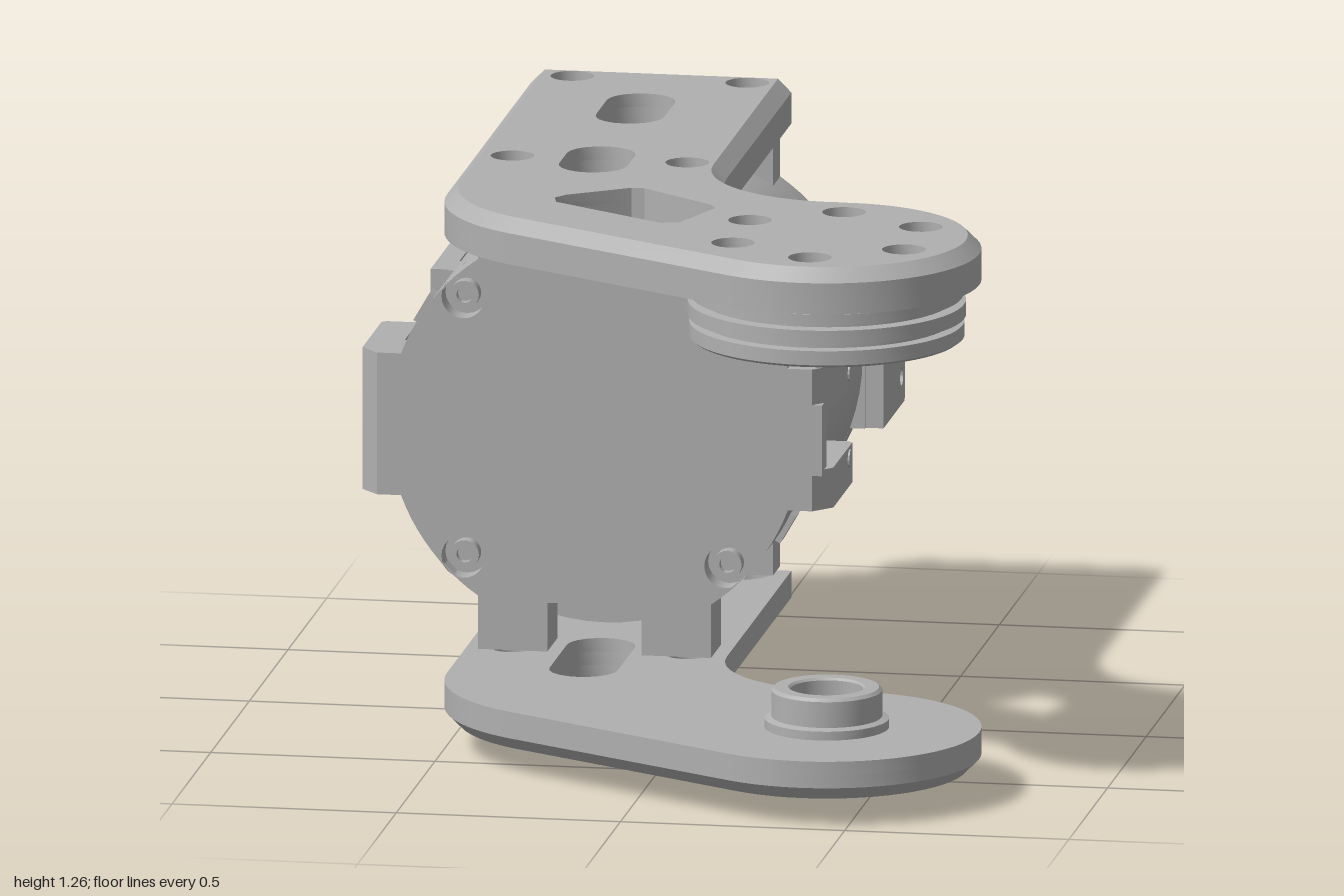
import * as THREE from 'three';
import { toCreasedNormals } from 'three/addons/utils/BufferGeometryUtils.js';

const grey = new THREE.MeshStandardMaterial({ color: 0xb0b0b0, side: THREE.DoubleSide });
grey.name = 'machined grey';

const V = (x, y) => new THREE.Vector2(x, y);

export function createModel() {
  const model = new THREE.Group();
  model.name = 'motorYoke';

  const add = (name, geo, x = 0, y = 0, z = 0, parent = model) => {
    const mesh = new THREE.Mesh(toCreasedNormals(geo, 0.5), grey);
    mesh.name = name;
    mesh.position.set(x, y, z);
    parent.add(mesh);
    return mesh;
  };
  const extrude = (shape, depth) =>
    new THREE.ExtrudeGeometry(shape, { depth, bevelEnabled: false, curveSegments: 20 });
  // Shape drawn in x/z, raised from y0 to y1
  const slab = (shape, y0, y1) => extrude(shape, y1 - y0).rotateX(Math.PI / 2).translate(0, y1, 0);
  const lathe = (pts, seg = 48) => new THREE.LatheGeometry(pts.map(p => V(...p)), seg);
  const arc = (cx, cy, r, a0, a1, n) => Array.from({ length: n + 1 }, (_, i) => {
    const a = a0 + (a1 - a0) * i / n;
    return V(cx + r * Math.cos(a), cy + r * Math.sin(a));
  });
  const circle = (x, y, r) => new THREE.Path(arc(x, y, r, 0, Math.PI * 2, 24));
  const capsule = (x0, y0, x1, y1, r) => {
    const a = Math.atan2(y1 - y0, x1 - x0), h = Math.PI / 2;
    return new THREE.Path([...arc(x1, y1, r, a - h, a + h, 10), ...arc(x0, y0, r, a + h, a + 3 * h, 10)]);
  };
  const withHoles = (pts, holes) => {
    const s = new THREE.Shape(pts);
    s.holes.push(...holes);
    return s;
  };
  // Recessed socket screw, facing +y
  const screwGeo = () => lathe([[0.048, -0.05], [0.032, -0.05], [0.032, -0.02], [0.018, -0.02], [0.018, -0.04], [0, -0.04]], 20);

  // Hooked arm outline, pulled in by d for the chamfer
  const HX = 0.4, HZ = 0.65;
  const outline = d => [
    V(-0.51 + d, -0.805), V(0.07 - d, -0.805),
    ...arc(0.35, 0.03, 0.28 + d, Math.PI, 1.49, 14),
    ...arc(HX, HZ, 0.34 - d, 1.49 - Math.PI, 2.094, 36),
    ...arc(-0.11, 0.285, 0.4 - d, 2.094, Math.PI, 14),
  ];
  const chamfer = (y0, y1) => {
    const a = outline(0), b = outline(0.03), n = a.length, pos = [], idx = [];
    a.forEach((p, i) => pos.push(p.x, y0, p.y, b[i].x, y1, b[i].y));
    for (let i = 0; i < n; i++) {
      const p = 2 * i, q = 2 * ((i + 1) % n);
      if (y1 > y0) idx.push(p, p + 1, q, q, p + 1, q + 1);
      else idx.push(p, q, p + 1, q, q + 1, p + 1);
    }
    const g = new THREE.BufferGeometry();
    g.setAttribute('position', new THREE.Float32BufferAttribute(pos, 3));
    g.setIndex(idx);
    g.computeVertexNormals();
    return g;
  };
  const mounts = [[-0.41, -0.755], [-0.02, -0.755], [-0.41, 0.02], [-0.02, 0.02]];
  const headBolts = arc(HX, HZ, 0.22, Math.PI / 2, Math.PI * 13 / 6, 5).map(p => [p.x, p.y]);
  const boltHoles = list => list.map(([x, z]) => circle(x, z, 0.048));

  // Upper arm
  const topHoles = () => [
    ...boltHoles([...mounts, ...headBolts]),
    capsule(-0.22, -0.54, -0.22, -0.4, 0.076), capsule(-0.22, -0.025, -0.22, 0.075, 0.076),
    new THREE.Path([V(-0.25, 0.4), V(-0.23, 0.37), V(-0.1, 0.28), V(-0.07, 0.28),
      V(0.1, 0.41), V(0.115, 0.44), V(0.06, 0.59), V(0.02, 0.6), V(-0.24, 0.44)]),
  ];
  add('upperArm', slab(withHoles(outline(0), topHoles()), 1.16, 1.23));
  add('upperArmCap', slab(withHoles(outline(0.03), topHoles()), 1.23, 1.26));
  add('upperArmChamfer', chamfer(1.23, 1.26));
  for (const [x, z] of [...mounts, ...headBolts]) add('upperArmScrew', screwGeo(), x, 1.26, z);

  // Lower arm with a cable channel open underneath
  const lowHoles = () => [...boltHoles(mounts),
    capsule(-0.22, -0.54, -0.22, -0.4, 0.076), capsule(-0.22, -0.025, -0.22, 0.2, 0.076)];
  const channel = () => capsule(HX, HZ, -0.08, 0.4, 0.07);
  add('lowerArm', slab(withHoles(outline(0), [...lowHoles(), circle(HX, HZ, 0.08)]), 0.12, 0.15));
  add('lowerArmChannel', slab(withHoles(outline(0), [...lowHoles(), channel()]), 0.09, 0.12));
  add('lowerArmCap', slab(withHoles(outline(0.03), [...lowHoles(), channel()]), 0.06, 0.09));
  add('lowerArmChamfer', chamfer(0.09, 0.06));
  for (const [x, z] of mounts) add('lowerArmScrew', screwGeo().rotateX(Math.PI), x, 0.06, z);

  // Cable straps bowed under the lower arm
  const R = 0.1557, H = 0.987, down = -Math.PI / 2;
  const strap = new THREE.Shape([...arc(0, R, R, down - H, down + H, 16), ...arc(0, R, R - 0.015, down + H, down - H, 16)]);
  const strapGeo = () => extrude(strap, 0.12).translate(0, 0, -0.06);
  add('cableStrap', strapGeo(), -0.2, 0, 0.16);
  add('cableStrap', strapGeo().rotateY(Math.PI / 3), 0.05, 0, 0.51);

  // Bearing boss on the lower arm
  add('bearingBoss', lathe([[0.08, 0.12], [0.08, 0.235], [0.085, 0.24], [0.115, 0.24], [0.122, 0.233],
    [0.122, 0.175], [0.137, 0.17], [0.137, 0.15]]), HX, 0, HZ);

  // Grooved output disc under the upper arm
  add('outputDisc', lathe([[0, 1.13], [0.075, 1.13], [0.075, 1.03], [0.295, 1.03], [0.303, 1.036], [0.303, 1.068],
    [0.28, 1.07], [0.28, 1.08], [0.306, 1.082], [0.306, 1.115], [0.28, 1.117], [0.28, 1.125],
    [0.3, 1.127], [0.3, 1.15], [0.29, 1.16]], 64), HX, 0, HZ);
  for (const p of arc(HX, HZ, 0.22, 0, Math.PI * 5 / 3, 5))
    add('discPin', new THREE.CylinderGeometry(0.018, 0.018, 0.008, 12), p.x, 1.028, p.y);

  // Motor housing, centred on its own axis
  const housing = new THREE.Group();
  housing.name = 'motorHousing';
  housing.position.set(-0.215, 0.66, 0);
  model.add(housing);
  const part = (name, geo, x, y, z) => add(name, geo, x, y, z, housing);
  const box = (name, x0, x1, y0, y1, z0, z1) => part(name, new THREE.BoxGeometry(x1 - x0, y1 - y0, z1 - z0),
    (x0 + x1) / 2, (y0 + y1) / 2, (z0 + z1) / 2);

  // Can with a stepped bore at the back
  part('motorCan', lathe([[0, -0.55], [0.27, -0.55], [0.27, -0.66], [0.3, -0.66], [0.3, -0.71],
    [0.46, -0.71], [0.46, -0.04], [0, -0.04]], 72).rotateX(Math.PI / 2));

  // End plate outline: disc, posts above and below, side wings
  const plateOutline = (wing, notch) => {
    const q = [V(wing, 0.16), ...arc(0, 0, 0.46, Math.asin(0.16 / 0.46), Math.acos(0.26 / 0.46), 10),
      V(0.26, 0.5), V(0.105, 0.5), V(0.105, notch)];
    const half = [...q, ...q.slice().reverse().map(p => V(-p.x, p.y))];
    return [...half, ...half.map(p => V(-p.x, -p.y))];
  };
  const corners = [-1, 1].flatMap(sx => [-1, 1].map(sy => [sx * 0.293, sy * 0.293]));
  part('frontPlate', extrude(withHoles(plateOutline(0.47, 0.39), boltHoles(corners)), 0.13), 0, 0, -0.04);
  for (const [x, y] of corners) part('frontScrew', screwGeo().rotateX(Math.PI / 2), x, y, 0.09);

  const backBolts = arc(0, 0, 0.38, Math.PI / 2, Math.PI * 13 / 6, 5).map(p => circle(p.x, p.y, 0.04));
  part('backPlate', extrude(withHoles(plateOutline(0.465, 0.44), [circle(0, 0, 0.3), ...backBolts]), 0.095), 0, 0, -0.805);

  // Front ears: solid on one side, two prongs around a connector on the other
  const ear = s => new THREE.Shape([V(0.445, -0.21), V(0.515, -0.21), V(0.525, -0.2), V(0.525, 0.045),
    V(0.485, 0.09), V(0.445, 0.09)].map(p => V(s * p.x, p.y)));
  part('rightFrontEar', slab(ear(-1), -0.16, 0.16));
  for (const s of [-1, 1]) {
    part('leftFrontProng', slab(ear(1), s * 0.115 - 0.045, s * 0.115 + 0.045));
    part('prongPin', new THREE.CylinderGeometry(0.02, 0.02, 0.006, 12).rotateZ(Math.PI / 2), 0.526, s * 0.097, -0.16);
  }
  box('leftEarBridge', 0.44, 0.508, -0.08, 0.08, 0.035, 0.09);
  box('connector', 0.43, 0.485, -0.06, 0.06, -0.08, 0.035);

  // Back ears with two holes each
  for (const s of [-1, 1]) {
    const plate = withHoles([V(-0.72, -0.16), V(-0.72, 0.16), V(-0.99, 0.16), V(-1, 0.15), V(-1, -0.15), V(-0.99, -0.16)],
      [circle(-0.955, 0.097, 0.02), circle(-0.955, -0.097, 0.02)]);
    part('backEar', extrude(plate, 0.05).rotateY(-Math.PI / 2), s > 0 ? 0.505 : -0.455);
  }
  box('backLug', 0.315, 0.46, -0.07, 0.07, -0.88, -0.8);

  // Small clips around the can behind the front plate
  for (const deg of [-30, 30, 58, 122, 150, 210]) {
    const a = deg * Math.PI / 180;
    const clip = part('clip', new THREE.BoxGeometry(0.02, 0.07, 0.055), 0.462 * Math.cos(a), 0.462 * Math.sin(a), -0.067);
    clip.rotation.z = a;
  }
  return model;
}
